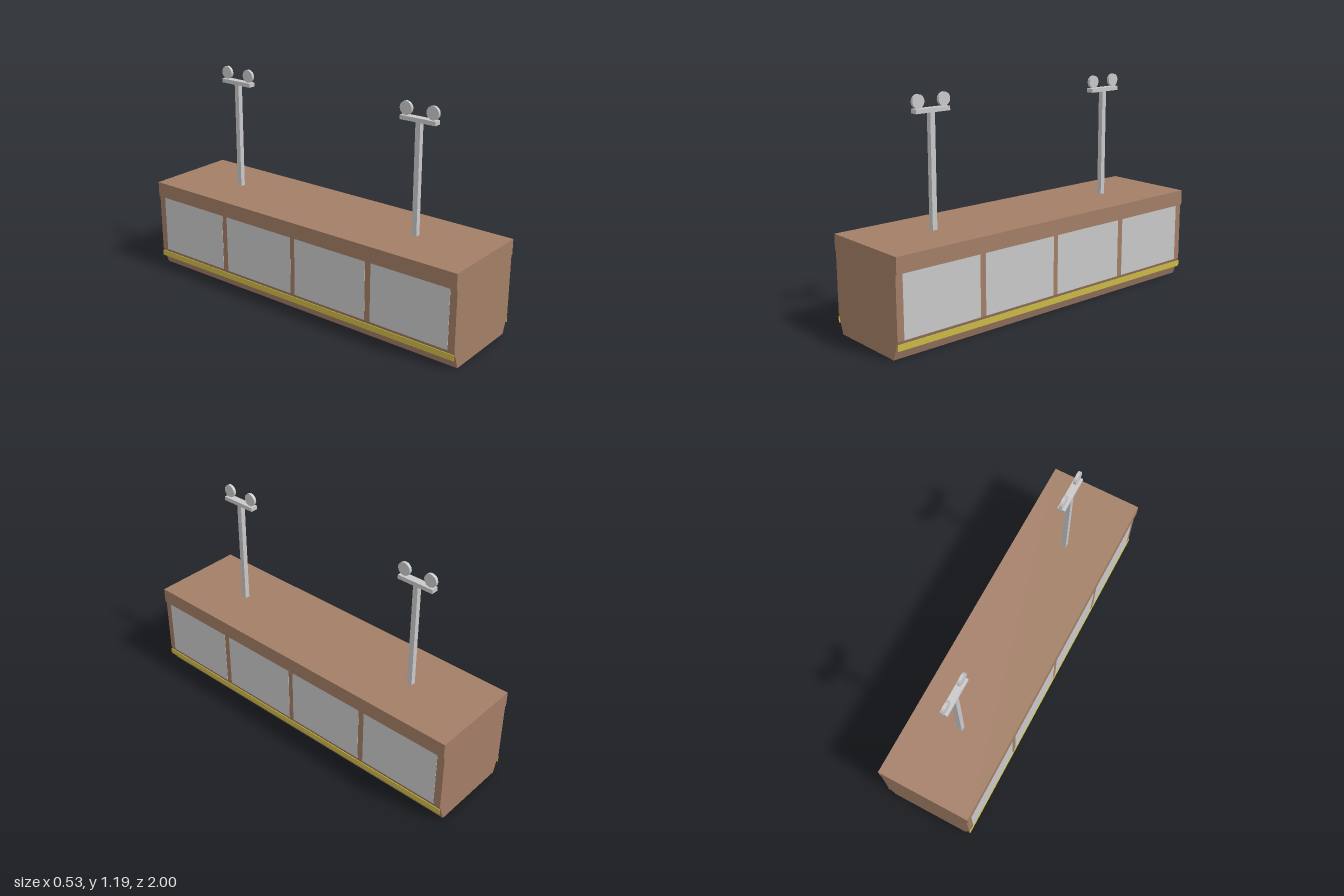
import * as THREE from 'three';

const mat = (name, color) => {
  const m = new THREE.MeshStandardMaterial({ color });
  m.name = name;
  return m;
};

export function createModel() {
  const model = new THREE.Group();
  const brown = mat('brown', 0xa37e66);
  const grey = mat('light grey', 0xc8c8ca);
  const yellow = mat('yellow', 0xcab944);

  const add = (parent, name, geometry, material, x, y, z) => {
    const mesh = new THREE.Mesh(geometry, material);
    mesh.name = name;
    mesh.position.set(x, y, z);
    parent.add(mesh);
    return mesh;
  };
  const box = (parent, name, material, w, h, d, x, y, z) =>
    add(parent, name, new THREE.BoxGeometry(w, h, d), material, x, y, z);

  // Hull: one profile with chamfered lower edges and an overhanging roof edge
  const half = [[0.22, 0], [0.255, 0.1], [0.255, 0.425], [0.263, 0.425], [0.263, 0.51]];
  const outline = [...half, ...half.map(([x, y]) => [-x, y]).reverse()];
  const shape = new THREE.Shape(outline.map(([x, y]) => new THREE.Vector2(x, y)));
  const hull = new THREE.ExtrudeGeometry(shape, { depth: 2, bevelEnabled: false });
  add(model, 'hull', hull, brown, 0, 0, -1);

  // Side panels and bumper stripes
  for (const side of [-1, 1]) {
    for (const z of [-0.731, -0.241, 0.244, 0.734]) {
      box(model, 'sidePanel', grey, 0.004, 0.325, 0.456, side * 0.2545, 0.2625, z);
    }
    box(model, 'bumperStripe', yellow, 0.004, 0.032, 2, side * 0.256, 0.069, 0);
  }

  // Lamp masts: pole, crossbar and two round lamps
  for (const z of [-0.595, 0.595]) {
    const mast = new THREE.Group();
    mast.name = 'lampMast';
    mast.position.z = z;
    model.add(mast);
    box(mast, 'pole', grey, 0.028, 0.6, 0.028, 0, 0.8, 0);
    box(mast, 'crossbar', grey, 0.04, 0.022, 0.204, 0, 1.109, 0);
    for (const side of [-1, 1]) {
      const disc = new THREE.CylinderGeometry(0.035, 0.035, 0.016, 16).toNonIndexed();
      disc.computeVertexNormals();
      add(mast, 'lamp', disc, grey, 0, 1.155, side * 0.077).rotation.z = Math.PI / 2;
    }
  }
  return model;
}
